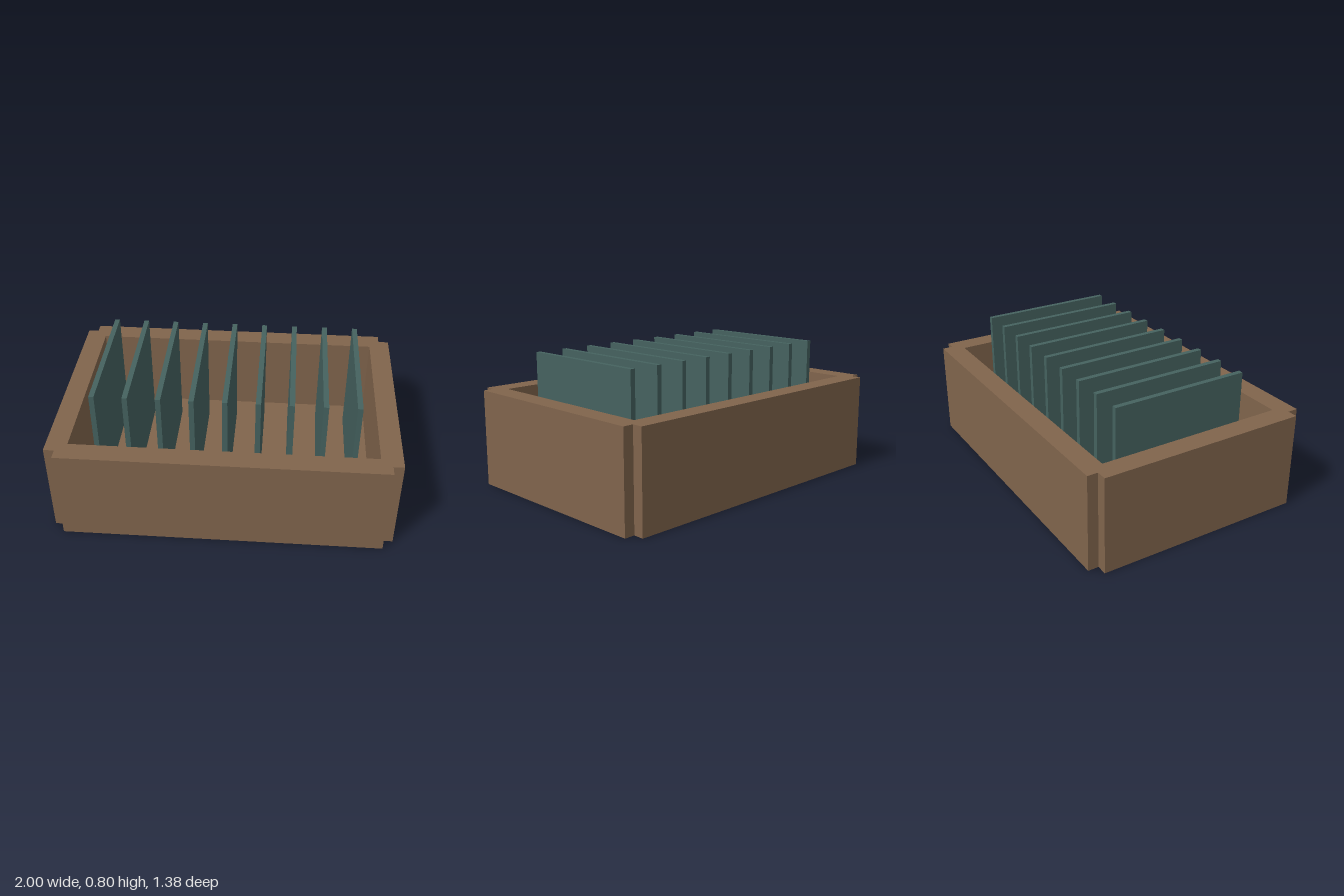
import * as THREE from 'three';

export function createModel() {
  const model = new THREE.Group();
  const wood = new THREE.MeshStandardMaterial({ color: 0x80644c });
  wood.name = 'brown wood';
  const teal = new THREE.MeshStandardMaterial({ color: 0x45625f });
  teal.name = 'dark teal';

  const wallHeight = 0.575, floorHeight = 0.08;

  // Outline of the crate: a rectangle with a square notch at each corner
  const X = 1, x = 0.9375, Z = 0.6875, z = 0.625;
  const outline = [
    [-x, -Z], [x, -Z], [x, -z], [X, -z], [X, z], [x, z],
    [x, Z], [-x, Z], [-x, z], [-X, z], [-X, -z], [-x, -z],
  ].map(([a, b]) => new THREE.Vector2(a, b));

  // Four joined walls around an open middle
  const ring = new THREE.Shape(outline);
  const ix = 0.875, iz = 0.5625;
  ring.holes.push(new THREE.Path([
    [-ix, -iz], [-ix, iz], [ix, iz], [ix, -iz],
  ].map(([a, b]) => new THREE.Vector2(a, b))));
  const wallGeometry = new THREE.ExtrudeGeometry(ring, { depth: wallHeight, bevelEnabled: false });
  wallGeometry.rotateX(-Math.PI / 2);
  const walls = new THREE.Mesh(wallGeometry, wood);
  walls.name = 'crateWalls';
  model.add(walls);

  // Floor fitted between the walls
  const floor = new THREE.Mesh(new THREE.BoxGeometry(2 * ix, floorHeight, 2 * iz), wood);
  floor.name = 'crateFloor';
  floor.position.y = floorHeight / 2;
  model.add(floor);

  // Row of upright panels standing on the floor
  const panels = new THREE.Group();
  panels.name = 'panels';
  const top = 0.8;
  const panelGeometry = new THREE.BoxGeometry(0.03, top - floorHeight, 0.83);
  for (let i = -4; i <= 4; i++) {
    const panel = new THREE.Mesh(panelGeometry, teal);
    panel.name = 'panel';
    panel.position.set(i * 0.1875, (top + floorHeight) / 2, 0);
    panels.add(panel);
  }
  model.add(panels);

  return model;
}
